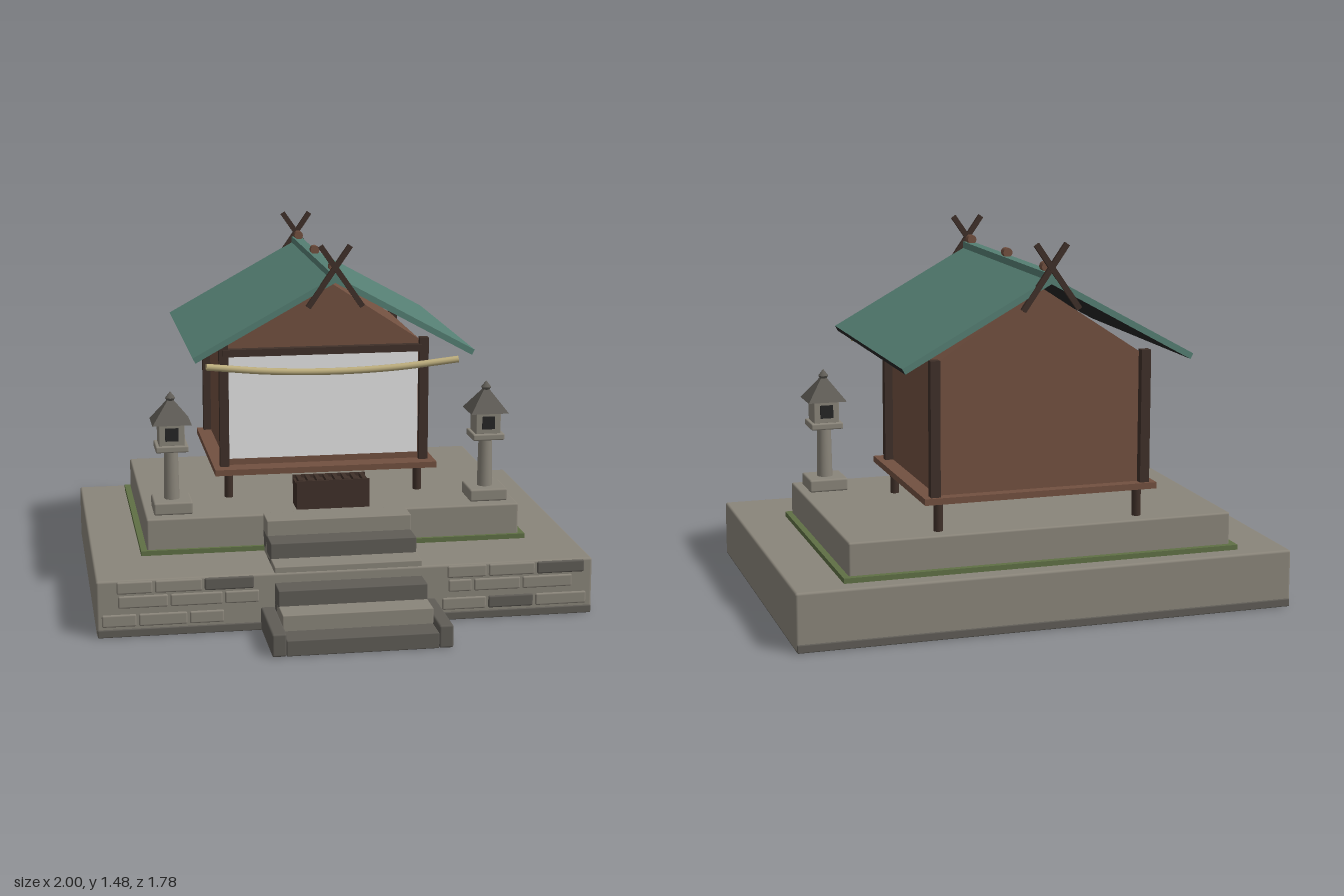
import * as THREE from 'three';
import { RoundedBoxGeometry } from 'three/addons/geometries/RoundedBoxGeometry.js';

const mat = (name, color, side = THREE.FrontSide) => {
  const m = new THREE.MeshStandardMaterial({ color, side });
  m.name = name;
  return m;
};

export function createModel() {
  const stone = mat('stone', 0x8a857a);
  const darkStone = mat('darkStone', 0x5f5c56);
  const moss = mat('moss', 0x5f7045);
  const wood = mat('wood', 0x725040);
  const darkWood = mat('darkWood', 0x3f3029);
  const copper = mat('copper', 0x557f73);
  const shade = mat('shade', 0x262626);
  const paper = mat('paper', 0xe5e5e5, THREE.DoubleSide);
  const straw = mat('straw', 0xbdae7e);

  const model = new THREE.Group();
  model.name = 'hillsideShrine';
  const group = (name) => {
    const g = new THREE.Group();
    g.name = name;
    model.add(g);
    return g;
  };
  const add = (parent, name, geometry, material, x = 0, y = 0, z = 0) => {
    const mesh = new THREE.Mesh(geometry, material);
    mesh.name = name;
    mesh.position.set(x, y, z);
    parent.add(mesh);
    return mesh;
  };
  // Box given by its limits on each axis, optionally with rounded edges
  const box = (parent, name, material, [x0, x1], [y0, y1], [z0, z1], r = 0) => {
    const s = [x1 - x0, y1 - y0, z1 - z0];
    const geo = r ? new RoundedBoxGeometry(...s, 2, r) : new THREE.BoxGeometry(...s);
    return add(parent, name, geo, material, (x0 + x1) / 2, (y0 + y1) / 2, (z0 + z1) / 2);
  };

  // Stone terraces; the dark plinth shows at the front, back and underneath
  const terrace = group('terrace');
  box(terrace, 'plinth', darkStone, [-0.997, 0.997], [0, 0.032], [-0.89, 0.566], 0.004);
  box(terrace, 'lowerTerrace', stone, [-1, 1], [0.003, 0.23], [-0.885, 0.56], 0.01);
  box(terrace, 'mossEdge', moss, [-0.8, 0.8], [0.228, 0.25], [-0.815, 0.245]);
  box(terrace, 'upperTerrace', stone, [-0.775, 0.775], [0.22, 0.378], [-0.79, 0.23], 0.008);

  // Facing stones on the front: [left, right, bottom, dark]
  const facing = group('facingStones');
  [
    [-0.92, -0.78, 0.175], [-0.77, -0.585, 0.175], [-0.575, -0.38, 0.175, true],
    [-0.915, -0.72, 0.117], [-0.71, -0.505, 0.117], [-0.495, -0.36, 0.117],
    [-0.98, -0.845, 0.042], [-0.835, -0.645, 0.042], [-0.635, -0.5, 0.042],
    [0.4, 0.56, 0.175], [0.57, 0.76, 0.175], [0.77, 0.965, 0.175, true],
    [0.405, 0.5, 0.117], [0.51, 0.7, 0.117], [0.71, 0.915, 0.117],
    [0.38, 0.56, 0.042], [0.57, 0.755, 0.042, true], [0.765, 0.975, 0.042],
  ].forEach(([x0, x1, y, dark]) =>
    box(facing, 'facingStone', dark ? darkStone : stone, [x0, x1], [y, y + 0.05], [0.54, 0.567], 0.007));

  // Six steps in alternating stone, with low cheek walls
  const stairs = group('stairs');
  for (let i = 0; i < 6; i++) {
    const front = 0.888 - i * 0.111;
    const bottom = i < 3 ? 0 : 0.2;
    box(stairs, 'step', i % 2 ? stone : darkStone,
      [-0.297, 0.297], [bottom, 0.0633 * (i + 1)], [i < 3 ? 0.545 : 0.21, front], 0.004);
  }
  for (const s of [-1, 1])
    box(stairs, 'cheekWall', darkStone, [s * 0.325 - 0.028, s * 0.325 + 0.028], [0, 0.092], [0.55, 0.89], 0.008);

  // Timber hall
  const hall = group('hall');
  box(hall, 'floor', wood, [-0.47, 0.47], [0.492, 0.517], [-0.765, 0.02]);
  box(hall, 'walls', wood, [-0.41, 0.41], [0.517, 1.03], [-0.72, -0.065]);
  box(hall, 'frontScreen', paper, [-0.402, 0.402], [0.545, 0.982], [-0.064, -0.058]);
  for (const x of [-1, 1])
    for (const z of [-0.053, -0.735]) {
      box(hall, 'cornerPost', darkWood, [x * 0.424 - 0.019, x * 0.424 + 0.019], [0.515, 1.042], [z - 0.018, z + 0.018]);
      add(hall, 'floorLeg', new THREE.CylinderGeometry(0.018, 0.018, 0.12, 10), darkWood,
        x * 0.405, 0.434, z < -0.5 ? -0.715 : -0.071);
    }
  box(hall, 'frontBeam', darkWood, [-0.43, 0.43], [0.985, 1.015], [-0.065, -0.03]);
  const gable = new THREE.Shape([[-0.41, 1.03], [0.41, 1.03], [0, 1.3]].map((p) => new THREE.Vector2(...p)));
  add(hall, 'gable', new THREE.ExtrudeGeometry(gable, { depth: 0.663, bevelEnabled: false }), wood, 0, 0, -0.724);

  // Roof slopes, copper above and dark below
  const roof = group('roof');
  const eave = [0.578, 1.036], apex = [0, 1.354];
  const pitch = Math.atan2(apex[1] - eave[1], eave[0]);
  const slopeLength = Math.hypot(eave[0], apex[1] - eave[1]);
  const thick = 0.024;
  for (const s of [-1, 1]) {
    const geo = new THREE.BoxGeometry(slopeLength, thick, 1.075);
    const faces = [s > 0 ? shade : copper, s < 0 ? shade : copper, copper, shade, copper, copper];
    const slope = add(roof, 'roofSlope', geo, faces,
      s * (eave[0] / 2 - Math.sin(pitch) * thick / 2),
      (eave[1] + apex[1]) / 2 - Math.cos(pitch) * thick / 2, -0.3115);
    slope.rotation.z = -s * pitch;
  }
  box(roof, 'ridgeCap', copper, [-0.02, 0.02], [1.325, 1.37], [-0.845, 0.22]);
  for (const z of [0.172, -0.31, -0.775])
    add(roof, 'ridgeBillet', new THREE.CylinderGeometry(0.019, 0.019, 0.034, 12), wood, 0, 1.385, z)
      .rotation.x = Math.PI / 2;
  // Crossed finials at both gable ends
  for (const z of [0.228, -0.848])
    for (const s of [-1, 1])
      add(roof, 'crossedFinial', new THREE.BoxGeometry(0.022, 0.3, 0.014), darkWood,
        s * 0.025, 1.353, z + s * 0.001).rotation.z = s * 0.607;

  // Sagging straw rope with folded paper streamers
  const rope = group('rope');
  const sag = (x) => 0.956 + 0.034 * (x / 0.52) ** 2;
  const curve = new THREE.CatmullRomCurve3(
    [-0.52, -0.26, 0, 0.26, 0.52].map((x) => new THREE.Vector3(x, sag(x), 0.18)));
  add(rope, 'strawRope', new THREE.TubeGeometry(curve, 32, 0.014, 10), straw);
  for (const s of [-1, 1])
    add(rope, 'ropeEnd', new THREE.CircleGeometry(0.014, 10), straw, s * 0.52, sag(0.52), 0.18)
      .rotation.y = s * Math.PI / 2;
  const zig = [[0, 0], [0.014, -0.014], [-0.012, -0.026], [0.014, -0.042], [-0.006, -0.066]];
  const streamer = new THREE.Shape([
    ...zig.map(([x, y]) => new THREE.Vector2(x - 0.006, y)),
    ...zig.slice().reverse().map(([x, y]) => new THREE.Vector2(x + 0.006, y + 0.003)),
  ]);
  for (const x of [-0.245, -0.082, 0.082, 0.245])
    add(rope, 'paperStreamer', new THREE.ShapeGeometry(streamer), paper, x, sag(x) - 0.012, 0.18);

  // Offering box with slats between raised front and back rims
  const offering = group('offeringBox');
  box(offering, 'offeringChest', darkWood, [-0.152, 0.152], [0.376, 0.485], [0.065, 0.18]);
  for (const z of [0.069, 0.176])
    box(offering, 'chestRim', darkWood, [-0.152, 0.152], [0.485, 0.498], [z - 0.004, z + 0.004]);
  for (let i = 0; i < 8; i++) {
    const x = -0.133 + i * 0.038;
    box(offering, 'slat', darkWood, [x - 0.009, x + 0.009], [0.485, 0.5], [0.073, 0.172]);
  }

  // Pair of stone lanterns
  for (const s of [-1, 1]) {
    const lantern = group(s > 0 ? 'leftLantern' : 'rightLantern');
    lantern.position.set(s * 0.66, 0, 0.1);
    const block = (name, w, y0, y1, r) => box(lantern, name, stone, [-w, w], [y0, y1], [-w, w], r);
    block('lanternFoot', 0.08, 0.378, 0.43, 0.008);
    add(lantern, 'lanternShaft', new THREE.CylinderGeometry(0.028, 0.032, 0.22, 14), stone, 0, 0.535, 0);
    block('lanternShelf', 0.067, 0.636, 0.663, 0.006);
    block('lanternHousing', 0.053, 0.66, 0.76, 0.004);
    for (const z of [-1, 1])
      box(lantern, 'lanternWindow', shade, [-0.027, 0.027], [0.682, 0.736], [z * 0.054 - 0.003, z * 0.054 + 0.003]);
    const cap = new THREE.CylinderGeometry(0.018, 0.113, 0.09, 4).toNonIndexed();
    cap.computeVertexNormals();
    add(lantern, 'lanternCap', cap, darkStone, 0, 0.797, 0).rotation.y = Math.PI / 4;
    add(lantern, 'lanternBud', new THREE.CylinderGeometry(0.021, 0.012, 0.014, 12), darkStone, 0, 0.845, 0);
    add(lantern, 'lanternTip', new THREE.ConeGeometry(0.021, 0.027, 12), darkStone, 0, 0.8655, 0);
  }

  return model;
}
